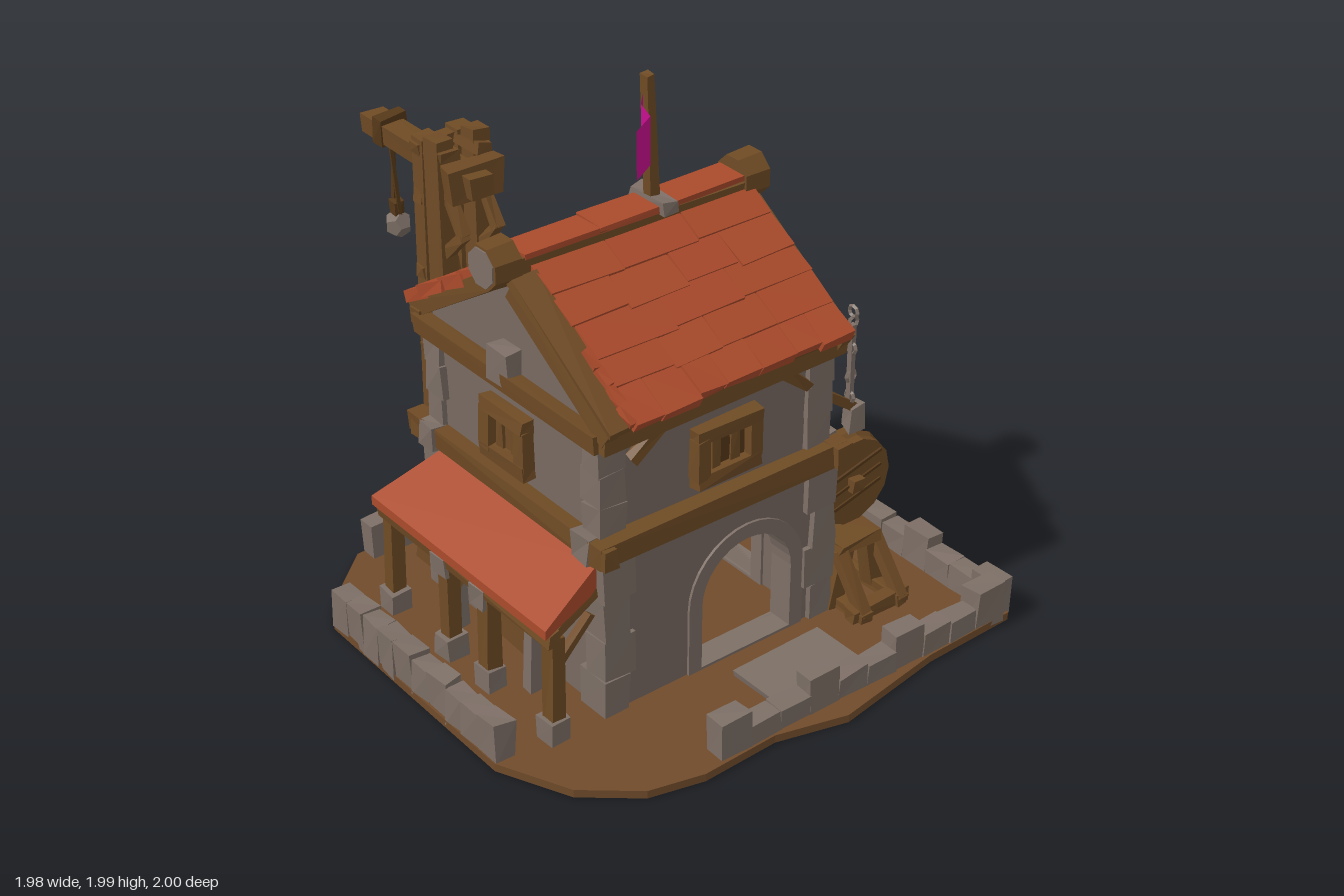
import * as THREE from 'three';

const mat = (name, color, side = THREE.FrontSide) => {
  const m = new THREE.MeshStandardMaterial({ color, flatShading: true, side });
  m.name = name;
  return m;
};

export function createModel() {
  const root = new THREE.Group();
  const stone = mat('stone', 0x7d6f66), wall = mat('plaster', 0x786a61), wood = mat('wood', 0x6f4b25),
    dark = mat('darkWood', 0x553819), dirt = mat('dirt', 0x704b2b), tile = mat('roofTile', 0xaa4a2b),
    cloth = mat('flagCloth', 0xc8108f, THREE.DoubleSide);

  let seed = 7;
  const rnd = () => (seed = (seed * 16807) % 2147483647) / 2147483647;
  const vary = (a) => (rnd() - 0.5) * 2 * a;

  const add = (name, geo, m, x = 0, y = 0, z = 0, parent = root) => {
    const mesh = new THREE.Mesh(geo, m);
    mesh.name = name;
    mesh.position.set(x, y, z);
    parent.add(mesh);
    return mesh;
  };
  // Box whose eight corners are moved by a rule: f(corner vector, corner index)
  const warpBox = (w, h, d, f) => {
    const g = new THREE.BoxGeometry(w, h, d), p = g.attributes.position, v = new THREE.Vector3();
    for (let i = 0; i < p.count; i++) {
      v.fromBufferAttribute(p, i);
      f(v, (v.x > 0 ? 1 : 0) + (v.y > 0 ? 2 : 0) + (v.z > 0 ? 4 : 0));
      p.setXYZ(i, v.x, v.y, v.z);
    }
    g.computeVertexNormals();
    return g;
  };
  // Rough-hewn block
  const block = (name, m, w, h, d, x, y, z, j = 0.006, parent = root) => {
    const off = Array.from({ length: 8 }, () => new THREE.Vector3(vary(j), vary(j), vary(j)));
    return add(name, warpBox(w, h, d, (v, i) => v.add(off[i])), m, x, y, z, parent);
  };
  // Rough beam between two points
  const beam = (name, a, b, w, d = w, m = wood, j = 0.006) => {
    const A = new THREE.Vector3(...a), B = new THREE.Vector3(...b), c = A.clone().add(B).multiplyScalar(0.5);
    const mesh = block(name, m, w, A.distanceTo(B), d, c.x, c.y, c.z, j);
    mesh.quaternion.setFromUnitVectors(new THREE.Vector3(0, 1, 0), B.sub(A).normalize());
    return mesh;
  };
  const extrude = (shape, depth) => new THREE.ExtrudeGeometry(shape, { depth, bevelEnabled: false, curveSegments: 8 });
  const poly = (pts) => new THREE.Shape(pts.map((p) => new THREE.Vector2(...p)));

  // Ground
  const outline = [[-0.6, -0.96], [0, -0.96], [0.3, -1], [0.75, -0.98], [0.91, -0.88], [0.92, -0.5], [0.99, -0.06],
    [0.92, 0.2], [0.93, 0.5], [0.88, 0.7], [0.73, 0.88], [0.47, 1], [-0.5, 0.99], [-0.6, 0.93], [-0.8, 0.7], [-0.83, -0.75], [-0.75, -0.87]];
  add('ground', extrude(poly(outline.map(([x, z]) => [x, -z])), 0.03).rotateX(-Math.PI / 2), dirt);
  block('pavingSlab', stone, 0.24, 0.03, 0.38, 0.71, 0.04, -0.09);
  block('wallFooting', stone, 0.1, 0.05, 0.5, -0.56, 0.05, 0.05);

  // Perimeter walls: every third stone stands taller
  const fence = (x0, z0, x1, z1, n, low) => {
    const alongX = Math.abs(x1 - x0) > Math.abs(z1 - z0), len = Math.hypot(x1 - x0, z1 - z0) / n;
    for (let i = 0; i < n; i++) {
      const t = (i + 0.5) / n, h = i % 3 === 0 ? 0.155 : low + rnd() * 0.02;
      block('perimeterStone', stone, alongX ? len : 0.075, h, alongX ? 0.075 : len,
        x0 + (x1 - x0) * t, 0.015 + h / 2, z0 + (z1 - z0) * t);
    }
  };
  fence(-0.5, 0.955, 0.47, 0.955, 10, 0.135);
  fence(-0.61, -0.86, 0.9, -0.86, 13, 0.1);
  fence(0.875, -0.85, 0.875, 0.42, 10, 0.09);
  fence(-0.73, -0.87, -0.73, -0.13, 6, 0.1);
  fence(-0.77, -0.13, -0.77, 0.67, 7, 0.1);

  // Ground floor walls with arches
  const archPath = (path, c, r, low, spring) => {
    path.moveTo(c - r, low);
    path.lineTo(c + r, low);
    path.lineTo(c + r, spring);
    path.absarc(c, spring, r, 0, Math.PI, false);
    path.lineTo(c - r, low);
    return path;
  };
  const archWall = (u0, u1, c) => {
    const s = poly([[u0, 0.02], [u1, 0.02], [u1, 0.65], [u0, 0.65]]);
    s.holes.push(archPath(new THREE.Path(), c, 0.2, 0.04, 0.29));
    return extrude(s, 0.08);
  };
  const archRing = (c) => {
    const s = archPath(new THREE.Shape(), c, 0.25, 0.02, 0.29);
    s.holes.push(archPath(new THREE.Path(), c, 0.195, 0.04, 0.29));
    return extrude(s, 0.1);
  };
  for (const [wx, rx] of [[0.49, 0.5], [-0.41, -0.4]]) {
    add('sideArchWall', archWall(-0.4, 0.57, -0.03), wall, wx).rotation.y = -Math.PI / 2;
    add('sideArchRing', archRing(-0.03), stone, rx).rotation.y = -Math.PI / 2;
  }
  add('backArchWall', archWall(-0.41, 0.41, 0), wall, 0, 0, -0.4);
  add('backArchRing', archRing(0), stone, 0, 0, -0.41);
  block('frontLowerWall', wall, 0.84, 0.62, 0.08, 0, 0.33, 0.52, 0);
  block('frontDoor', wood, 0.19, 0.38, 0.03, -0.02, 0.22, 0.57);

  // Upper floor and gables
  block('upperWalls', wall, 0.92, 0.46, 0.94, 0, 0.86, 0.085, 0);
  add('gable', extrude(poly([[-0.46, 1.08], [0.46, 1.08], [0.46, 1.15], [0, 1.43], [-0.46, 1.15]]), 0.93), wall, 0, 0, -0.38);

  // Corner stones
  for (const sx of [-1, 1]) for (const [zc, sz] of [[0.52, 1], [-0.35, -1]]) {
    for (let i = 0; i < 4; i++) {
      const w = i % 2 ? 0.1 : 0.13;
      block('lowerCornerStone', stone, w, 0.15, 0.23 - w, sx * (0.51 - w / 2), 0.1 + i * 0.152, zc + sz * (0.06 - (0.23 - w) / 2));
    }
    for (let i = 0; i < 3; i++) {
      const w = i % 2 ? 0.1 : 0.085;
      block('upperCornerStone', stone, w, 0.12, 0.11, sx * (0.48 - w / 2), 0.77 + i * 0.12, zc + sz * 0.002);
    }
    block('beamBracket', stone, 0.08, 0.1, 0.05, sx * 0.43, 0.68, zc + sz * 0.075, 0.008);
  }

  // Timber bands and eave braces
  for (const z of [0.58, -0.41]) {
    beam('floorBeam', [-0.55, 0.68, z], [0.55, 0.68, z], 0.08, 0.06);
    beam('gableBeam', [-0.5, 1.09, z], [0.5, 1.09, z], 0.06, 0.06);
    block('gableKeystone', stone, 0.1, 0.13, 0.07, -0.01, 1.14, z, 0.01);
  }
  for (const x of [-0.5, 0.5]) {
    const s = Math.sign(x);
    beam('floorBeam', [x, 0.68, -0.43], [x, 0.68, 0.61], 0.06, 0.08);
    beam('eaveBeam', [x, 1.1, -0.42], [x, 1.1, 0.59], 0.06, 0.07);
    beam('eaveBrace', [s * 0.48, 0.97, 0.45], [s * 0.49, 1.08, 0.32], 0.04);
    beam('eaveBrace', [s * 0.48, 0.97, -0.29], [s * 0.49, 1.08, -0.16], 0.04);
  }

  // Windows
  const windowAt = (x, y, z, ry, w, pane) => {
    const g = new THREE.Group();
    g.name = 'window';
    g.position.set(x, y, z);
    g.rotation.y = ry;
    root.add(g);
    for (const s of [-1, 1]) {
      block('windowFrame', wood, w, 0.05, 0.06, 0, s * 0.085, 0.02, 0.006, g);
      block('windowFrame', wood, 0.05, 0.15, 0.06, s * (w / 2 - 0.025), 0, 0.02, 0.005, g);
    }
    block('windowPane', pane, w - 0.08, 0.14, 0.008, 0, 0, 0.01, 0, g);
    for (const u of [-0.04, 0.04]) block('windowBar', wood, 0.035, 0.13, 0.02, u, 0, 0.015, 0.004, g);
  };
  windowAt(-0.01, 0.87, 0.555, 0, 0.24, wood);
  windowAt(-0.01, 0.87, -0.385, Math.PI, 0.24, dark);
  windowAt(0.46, 0.87, 0.06, Math.PI / 2, 0.27, dark);
  windowAt(-0.46, 0.87, 0.06, -Math.PI / 2, 0.27, dark);

  // Tiled roof in overlapping courses; the right slope leaves its front board bare
  const slope = 0.565, z0 = -0.41, courses = 5;
  for (const s of [-1, 1]) {
    const z1 = s > 0 ? 0.5 : 0.59;
    block('roofDeck', wood, 0.6, 0.02, 0.97, s * 0.28, 1.297, 0.085, 0).rotation.z = -s * slope;
    for (let r = 0; r < courses; r++) {
      const n = r === courses - 1 ? 7 : 3 + (r % 2);
      let z = z0;
      for (let i = 0; i < n; i++) {
        const end = i === n - 1 ? z1 + vary(0.012) : z0 + ((z1 - z0) * (i + 1)) / n + vary(0.035);
        const len = 0.15 + vary(0.012), t = 0.02 + 0.124 * r + len / 2;
        block('roofTile', tile, len, 0.042, end - z - 0.003, s * (t * Math.cos(slope)),
          1.508 - t * Math.sin(slope), (z + end) / 2, 0.004).rotation.z = -s * (slope - 0.06);
        z = end;
      }
    }
    for (const z of [0.565, -0.4]) beam('bargeBoard', [s * 0.04, 1.44, z], [s * 0.54, 1.12, z], 0.06, 0.05);
  }
  beam('frontRoofBoard', [0.05, 1.475, 0.545], [0.56, 1.15, 0.545], 0.035, 0.09);
  for (let i = 0; i < 4; i++) block('frontEdgeTile', tile, 0.07, 0.03, 0.03, 0.36 + i * 0.06, 1.3 - i * 0.038, 0.508).rotation.z = -slope;
  beam('ridgeBeam', [0, 1.49, -0.42], [0, 1.5, 0.6], 0.1, 0.07);
  for (let i = 0; i < 3; i++) block('ridgeTile', tile, 0.13, 0.02, 0.3, -0.015, 1.535, -0.22 + i * 0.3, 0.004);
  for (const [z, f] of [[0.6, 1], [-0.42, -1]]) {
    const cap = add('ridgeEndCap', new THREE.CylinderGeometry(0.08, 0.085, 0.1, 8), wood, -0.015, 1.515, z);
    cap.rotation.set(Math.PI / 2, Math.PI / 8, 0);
    const face = add('ridgeEndFace', new THREE.CylinderGeometry(0.07, 0.07, 0.012, 8), stone, -0.015, 1.515, z + f * 0.05);
    face.rotation.set(Math.PI / 2, Math.PI / 8, 0);
  }

  // Flagpole and flag
  beam('flagPole', [-0.015, 1.5, -0.03], [-0.02, 1.99, -0.015], 0.04, 0.035, wood, 0.004);
  block('poleClamp', stone, 0.18, 0.05, 0.055, -0.015, 1.54, -0.035);
  const path = [[0, 0.02], [0.04, 0.06], [0.12, 0.085], [0.165, 0.175]];
  const flag = new THREE.PlaneGeometry(1, 1, 3, 1), fp = flag.attributes.position;
  for (let i = 0; i < fp.count; i++) {
    const [x, z] = path[i % 4];
    fp.setXYZ(i, x, (i < 4 ? 1.935 : 1.765) - [0, 0.008, 0.015, 0.025][i % 4], z);
  }
  flag.computeVertexNormals();
  add('flag', flag, cloth);

  // Porch: awning, posts, anvils
  add('awning', warpBox(1, 0.05, 0.25, (v, i) => {
    const front = i & 4, right = i & 1, top = i & 2;
    v.set(right ? (front ? 0.515 : 0.47) : (front ? -0.48 : -0.4), front ? (top ? 0.495 : 0.46) : (top ? 0.63 : 0.53), front ? 0.82 : 0.57);
  }), tile);
  beam('awningBeam', [-0.48, 0.44, 0.78], [0.51, 0.44, 0.78], 0.05, 0.05);
  for (const x of [-0.44, -0.1, 0.125, 0.48]) {
    beam('porchPost', [x, 0.03, 0.77], [x, 0.43, 0.765], 0.055);
    block('porchPostFoot', stone, 0.08, 0.09, 0.08, x, 0.07, 0.77);
    beam('porchRafter', [x, 0.44, 0.78], [x * 0.94, 0.53, 0.56], 0.035);
    beam('porchBrace', [x, 0.3, 0.76], [x, 0.46, 0.62], 0.03);
  }
  for (const x of [-0.1, 0.125]) block('porchPostHead', stone, 0.075, 0.08, 0.02, x, 0.41, 0.805);
  for (const x of [-0.22, 0.23]) {
    block('anvilStand', stone, 0.05, 0.26, 0.06, x, 0.16, 0.66);
    block('anvilTop', stone, 0.11, 0.04, 0.06, x, 0.31, 0.66);
  }

  // Furnace inside the arches
  const prof = [[0, 0.03], [0.09, 0.03], [0.08, 0.12], [0.055, 0.15], [0.055, 0.28], [0.068, 0.3], [0.06, 0.35], [0.03, 0.37], [0.014, 0.43], [0, 0.44]];
  add('furnace', new THREE.LatheGeometry(prof.map((p) => new THREE.Vector2(...p)), 7), stone, 0, 0, -0.03);

  // Crane tower
  for (const z of [0.34, 0.48]) {
    beam('craneMast', [-0.58, 0.03, z], [-0.565, 1.72, z], 0.065);
    beam('craneMast', [-0.47, 0.03, z], [-0.485, 1.74, z], 0.065);
    for (let i = 0; i < 4; i++) {
      const y = 0.3 + i * 0.32, f = i % 2 ? 1 : -1;
      beam('craneBrace', [-0.52 + f * 0.06, y, z], [-0.52 - f * 0.06, y + 0.3, z], 0.03);
    }
    beam('craneStrut', [-0.45, 1.55, z], [-0.36, 1.42, z], 0.035);
    beam('craneStrut', [-0.36, 1.43, z], [-0.45, 1.33, z], 0.035);
    block('craneHead', wood, 0.16, 0.04, 0.07, -0.51, 1.68, z, 0.012);
  }
  for (const y of [0.6, 0.92, 1.22, 1.5, 1.68]) beam('craneCrossbar', [-0.57, y, 0.3], [-0.57, y, 0.52], 0.045);
  beam('craneArm', [-0.99, 1.6, 0.41], [-0.33, 1.6, 0.42], 0.075, 0.09);
  block('craneArmCollar', wood, 0.06, 0.12, 0.2, -0.4, 1.61, 0.41, 0.012);
  add('craneBase', warpBox(0.2, 0.2, 0.26, (v, i) => { if (i & 2) v.x = i & 1 ? 0.09 : -0.05; }), wood, -0.56, 0.13, 0.41);
  block('armBand', dark, 0.05, 0.1, 0.11, -0.88, 1.61, 0.41);
  for (const s of [-1, 1]) beam('craneRope', [-0.88 + s * 0.012, 1.58, 0.41 + s * 0.015], [-0.87 + s * 0.02, 1.28, 0.41], 0.012, 0.012, dark, 0);
  add('craneLoad', new THREE.DodecahedronGeometry(0.05), stone, -0.865, 1.25, 0.41);
  block('loadTie', dark, 0.04, 0.05, 0.04, -0.87, 1.31, 0.41);

  // Wooden wheel on its stand
  add('wheel', new THREE.CylinderGeometry(0.165, 0.165, 0.1, 14).rotateZ(Math.PI / 2), wood, 0.4, 0.47, -0.55);
  add('wheelRim', new THREE.TorusGeometry(0.155, 0.022, 5, 14).rotateY(Math.PI / 2), wood, 0.4, 0.47, -0.55);
  for (const x of [0.347, 0.453]) for (let i = 0; i < 3; i++)
    block('wheelPlankSeam', dark, 0.008, 0.012, 0.25, x, 0.41 + i * 0.06, -0.55, 0.001).rotation.x = 0.25;
  beam('wheelAxle', [0.32, 0.47, -0.55], [0.48, 0.47, -0.55], 0.045);
  block('wheelStand', wood, 0.24, 0.05, 0.2, 0.4, 0.265, -0.53, 0.012);
  for (const x of [0.31, 0.49]) for (const f of [-1, 1])
    beam('standLeg', [x, 0.03, -0.53 + f * 0.1], [x, 0.25, -0.53 + f * 0.06], 0.06);
  for (const z of [-0.62, -0.45]) {
    beam('standBrace', [0.49, 0.25, z], [0.64, 0.05, z], 0.045);
    beam('standFoot', [0.3, 0.05, z], [0.65, 0.05, z], 0.045);
  }
  beam('standTie', [0.61, 0.06, -0.66], [0.61, 0.06, -0.4], 0.05);

  // Hoist strut and chain
  beam('hoistStrut', [0.4, 0.88, -0.39], [0.4, 0.74, -0.58], 0.028);
  beam('chainRod', [0.4, 0.78, -0.56], [0.4, 1.07, -0.56], 0.02, 0.02, stone, 0.002);
  for (const [i, y] of [0.79, 0.87, 0.98, 1.08, 1.12].entries()) {
    const link = add('chainLink', new THREE.TorusGeometry(0.02, 0.008, 4, 8), stone, 0.4, y, -0.56);
    link.rotation.y = (i % 2) * Math.PI / 2;
  }
  block('chainHook', stone, 0.05, 0.09, 0.05, 0.4, 0.71, -0.575, 0.012);

  // Low timber by the back wall
  block('timberPile', wood, 0.15, 0.07, 0.1, -0.43, 0.065, -0.48, 0.012);
  return root;
}
